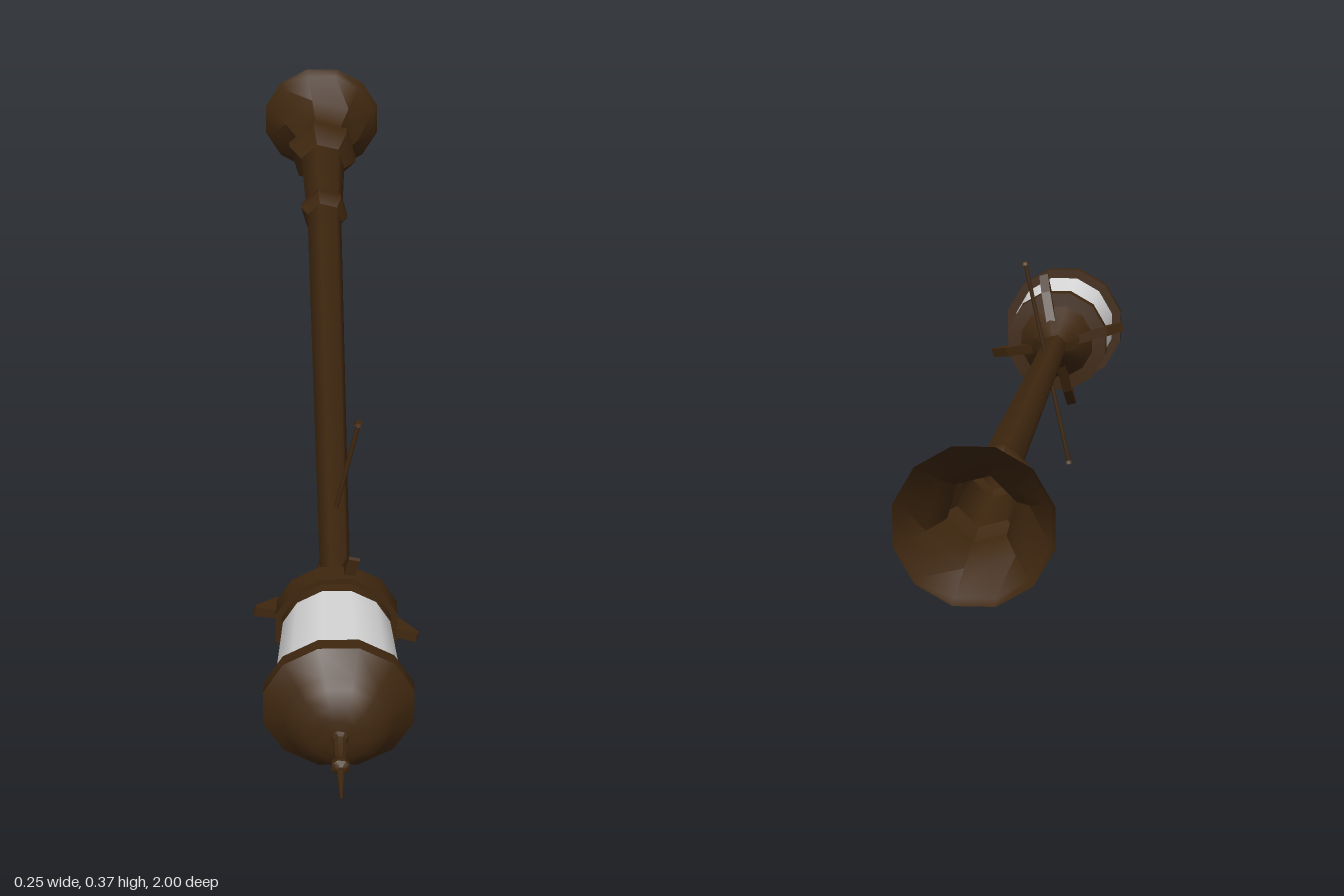
import * as THREE from 'three';
import { toCreasedNormals } from 'three/addons/utils/BufferGeometryUtils.js';

const AXIS_Y = 0.19;
const TILT = -0.215; // roll of the crossbar and fins about the pole axis

export function createModel() {
  const bronze = new THREE.MeshStandardMaterial({ color: 0x3f270f, side: THREE.DoubleSide });
  bronze.name = 'dark bronze';
  const frosted = new THREE.MeshStandardMaterial({ color: 0xdcdcdc, side: THREE.DoubleSide });
  frosted.name = 'frosted glass';

  const lamp = new THREE.Group();
  lamp.name = 'streetLamp';
  lamp.position.y = AXIS_Y;

  const add = (name, geometry, material = bronze, parent = lamp) => {
    const mesh = new THREE.Mesh(geometry, material);
    mesh.name = name;
    parent.add(mesh);
    return mesh;
  };

  // Turned part along z; profile is [z, radius] from back to front
  const turn = (profile, sides = 12) => {
    const pts = profile.map(([z, r]) => new THREE.Vector2(r, z));
    return new THREE.LatheGeometry(pts, sides, Math.PI / 12);
  };
  const lay = (g) => g.rotateX(Math.PI / 2);

  // Open flared foot: twelve-sided rim narrowing to a six-sided neck
  const rings = [[-1, 0.115], [-0.985, 0.107], [-0.945, 0.074], [-0.9, 0.052],
    [-0.885, 0.05], [-0.872, 0.068], [-0.855, 0.066], [-0.82, 0.043]];
  const foot = turn(rings);
  const p = foot.attributes.position;
  for (let i = 0; i < p.count; i++) {
    const ring = i % rings.length, side = Math.floor(i / rings.length);
    if (side % 2 && ring > 1) {
      const k = Math.cos(Math.PI / 6);
      p.setXYZ(i, p.getX(i) * k, p.getY(i), p.getZ(i) * k);
    }
  }
  add('flaredFoot', toCreasedNormals(lay(foot), 0.75));

  // Shaft in two tapering lengths joined by a ring
  add('lowerShaft', lay(turn([[-0.82, 0.043], [-0.655, 0.036]], 6)));
  add('shaftRing', toCreasedNormals(lay(turn(
    [[-0.655, 0.036], [-0.645, 0.045], [-0.63, 0.045], [-0.61, 0.033]], 6)), 0.7));
  add('upperShaft', lay(turn([[-0.61, 0.033], [0.53, 0.024]], 6)));

  // Lantern: hood, glass and front cap
  add('lanternHood', toCreasedNormals(lay(turn([[0.52, 0.022], [0.535, 0.032], [0.56, 0.05],
    [0.585, 0.07], [0.587, 0.096], [0.618, 0.096], [0.618, 0.086], [0.632, 0.086],
    [0.632, 0]])), 0.75));
  add('lanternGlass', lay(turn([[0.63, 0.084], [0.787, 0.098]])), frosted);
  add('lanternCap', toCreasedNormals(lay(turn([[0.785, 0], [0.785, 0.115], [0.805, 0.115],
    [0.835, 0.083], [0.85, 0.072], [0.865, 0.05], [0.872, 0.03], [0.875, 0]])), 0.75));
  add('finial', toCreasedNormals(lay(turn([[0.87, 0.016], [0.88, 0.01], [0.922, 0.008],
    [0.928, 0.014], [0.937, 0.014], [0.943, 0.006], [1, 0.002], [1, 0]], 8)), 0.75));

  // Four curled fins around the hood
  const shape = new THREE.Shape([[0.55, 0.035], [0.567, 0.07], [0.58, 0.098], [0.607, 0.128],
    [0.612, 0.126], [0.608, 0.09], [0.595, 0.05]].map(([z, r]) => new THREE.Vector2(z, r)));
  const finGeometry = new THREE.ExtrudeGeometry(shape, { depth: 0.017, bevelEnabled: false });
  finGeometry.translate(0, 0, -0.0085).rotateY(-Math.PI / 2);
  for (let i = 0; i < 4; i++) {
    add('hoodFin', finGeometry).rotation.z = TILT + (i * Math.PI) / 2;
  }

  // Thin crossbar with small knobs at both ends
  const crossbar = new THREE.Group();
  crossbar.name = 'crossbar';
  crossbar.position.z = 0.337;
  crossbar.rotation.z = TILT;
  lamp.add(crossbar);
  add('crossbarRod', new THREE.CylinderGeometry(0.004, 0.004, 0.37, 6), bronze, crossbar);
  for (const s of [-1, 1]) {
    add('crossbarKnob', new THREE.CylinderGeometry(0.006, 0.008, 0.006, 6), bronze, crossbar)
      .position.y = s * 0.187;
  }

  const model = new THREE.Group();
  model.name = 'model';
  model.add(lamp);
  return model;
}
